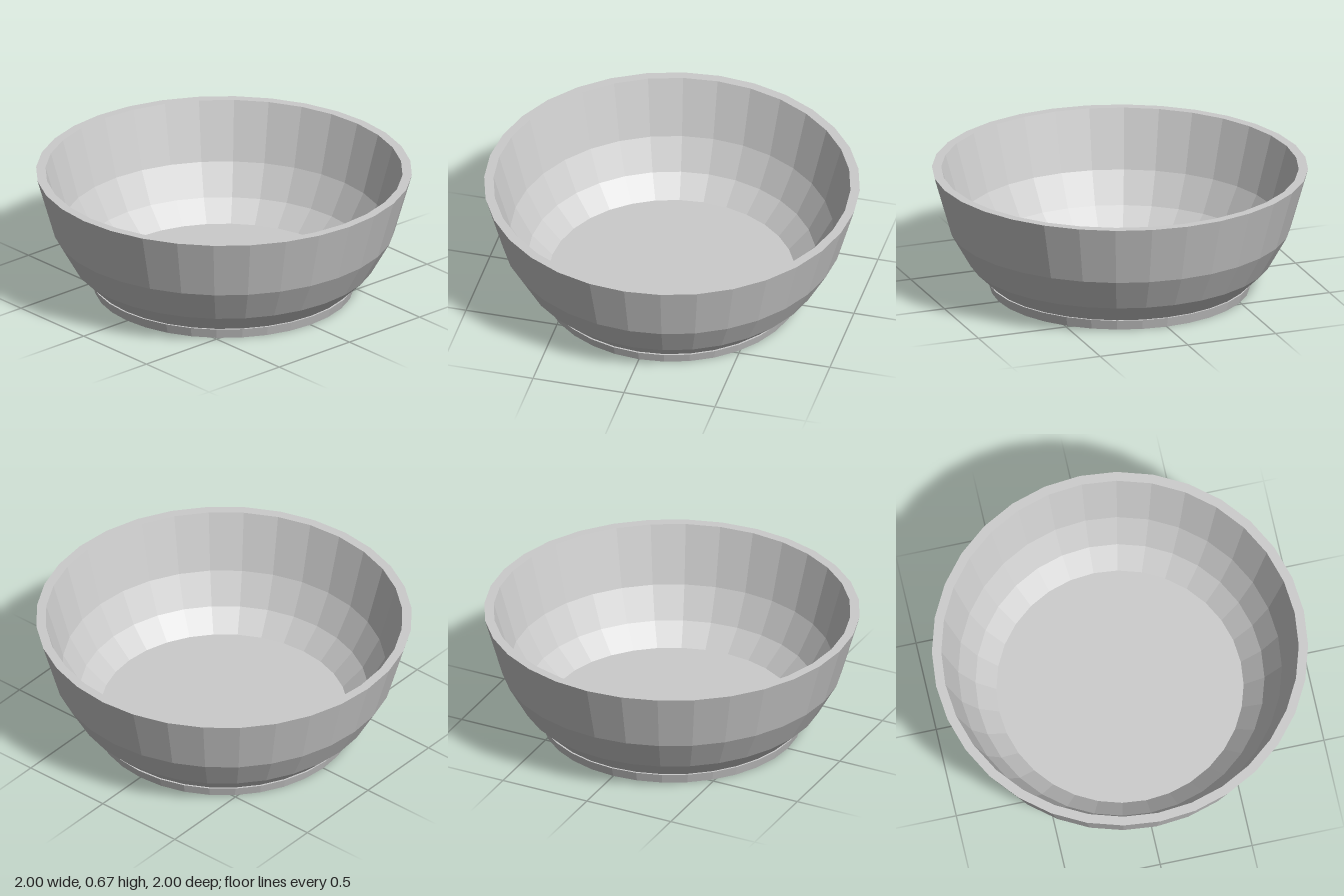
import * as THREE from 'three';

const SEGMENTS = 32;

export function createModel() {
  const model = new THREE.Group();
  model.name = 'bowl';
  const material = new THREE.MeshStandardMaterial({ color: 0xcccccc, flatShading: true });

  // Turn a [radius, height] profile around the y axis
  function turned(name, profile) {
    const points = profile.map(([r, y]) => new THREE.Vector2(r, y));
    const mesh = new THREE.Mesh(new THREE.LatheGeometry(points, SEGMENTS), material);
    mesh.name = name;
    model.add(mesh);
  }

  // Foot ring: recessed underside, flat rim, slightly flared wall, narrow ledge
  turned('foot', [
    [0, 0.02], [0.585, 0.02], [0.59, 0], [0.69, 0], [0.707, 0.055], [0.697, 0.055],
  ]);

  // Outer wall, flat lip, inner wall and floor
  turned('bowlBody', [
    [0.697, 0.055], [0.805, 0.16], [0.907, 0.34], [1, 0.667],
    [0.95, 0.667], [0.86, 0.35], [0.768, 0.182], [0.657, 0.077], [0, 0.077],
  ]);

  return model;
}
